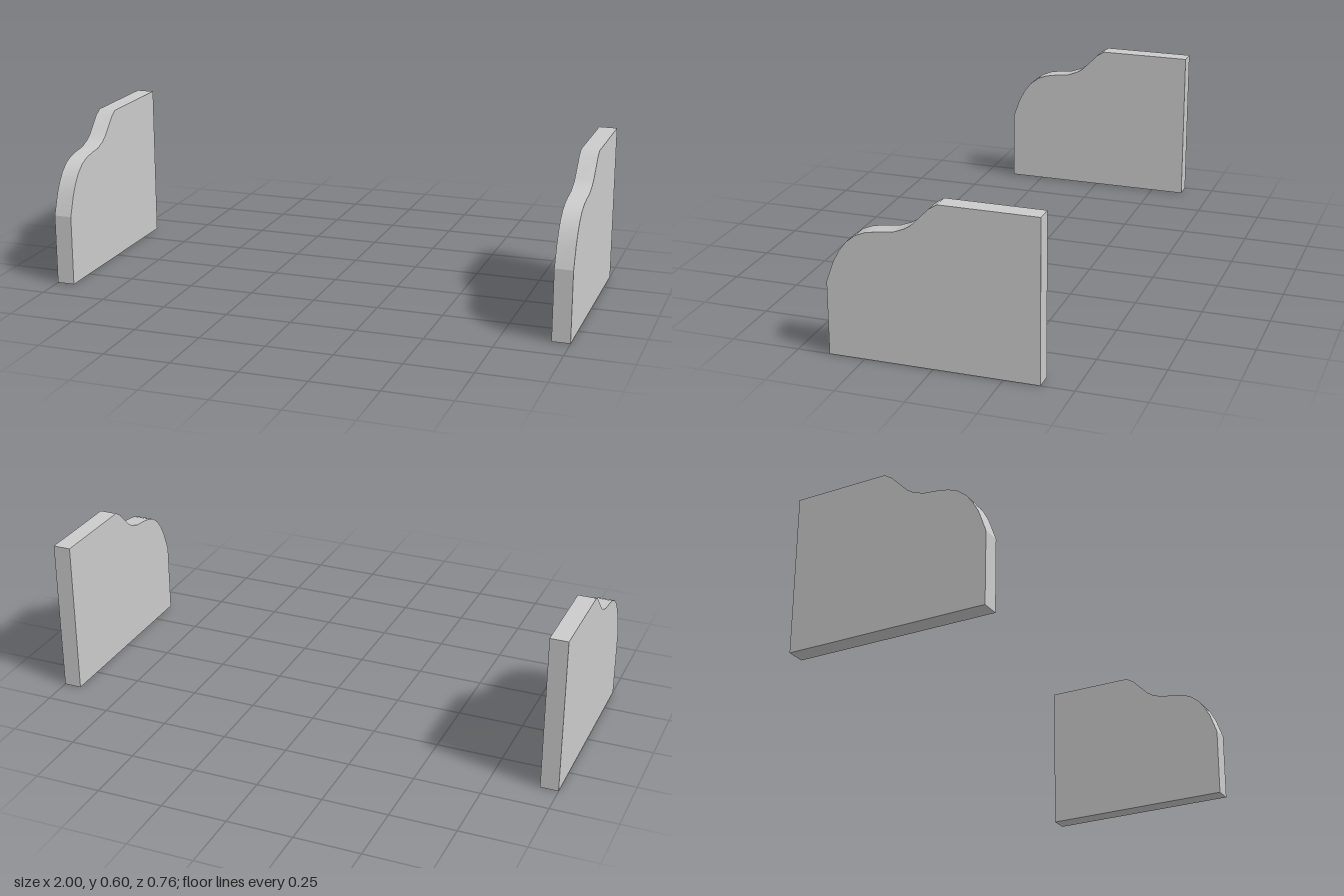
import * as THREE from 'three';
import { toCreasedNormals } from 'three/addons/utils/BufferGeometryUtils.js';

const THICKNESS = 0.068;

// Side outline as (z, y): square back, ogee curve falling to the front
const OUTLINE = [
  [-0.381, 0], [0.381, 0], [0.381, 0.27],
  [0.352, 0.35], [0.33, 0.39], [0.305, 0.423], [0.27, 0.451], [0.233, 0.466],
  [0.19, 0.474], [0.135, 0.48], [0.093, 0.496], [0.07, 0.511],
  [0.005, 0.577], [-0.025, 0.596], [-0.381, 0.596],
];

export function createModel() {
  const group = new THREE.Group();
  group.name = 'sidePanels';
  const material = new THREE.MeshStandardMaterial({ color: 0xcccccc });

  // Extrude the outline, then turn it so the thickness runs along x
  const shape = new THREE.Shape(OUTLINE.map(([z, y]) => new THREE.Vector2(z, y)));
  const extruded = new THREE.ExtrudeGeometry(shape, { depth: THICKNESS, bevelEnabled: false });
  extruded.translate(0, 0, -THICKNESS / 2);
  extruded.rotateY(-Math.PI / 2);
  // Smooth along the curve, sharp at the corners
  const geometry = toCreasedNormals(extruded, THREE.MathUtils.degToRad(18));

  for (const [name, side] of [['leftPanel', 1], ['rightPanel', -1]]) {
    const panel = new THREE.Mesh(geometry, material);
    panel.name = name;
    panel.position.x = side * (1 - THICKNESS / 2);
    group.add(panel);
  }
  return group;
}
